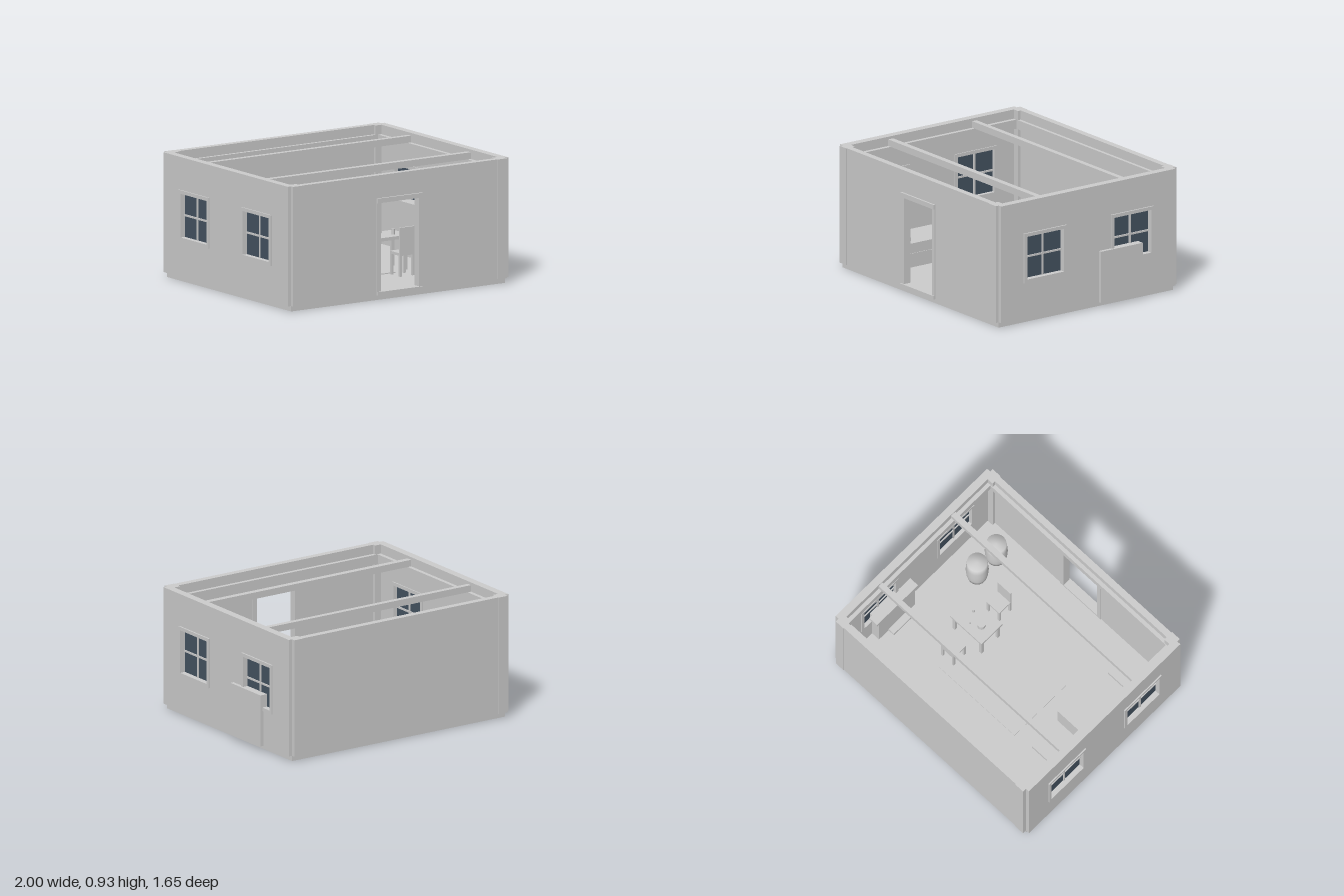
import * as THREE from 'three';

const plain = new THREE.MeshStandardMaterial({ color: 0xcccccc });
plain.name = 'plaster grey';
const glass = new THREE.MeshStandardMaterial({ color: 0x445260 });
glass.name = 'window glass';

// Box given by its limits on each axis
function box(parent, name, [x0, x1], [y0, y1], [z0, z1], mat = plain) {
  const m = new THREE.Mesh(new THREE.BoxGeometry(x1 - x0, y1 - y0, z1 - z0), mat);
  m.position.set((x0 + x1) / 2, (y0 + y1) / 2, (z0 + z1) / 2);
  m.name = name;
  parent.add(m);
  return m;
}

function group(parent, name) {
  const g = new THREE.Group();
  g.name = name;
  parent.add(g);
  return g;
}

function rect(Type, a0, a1, b0, b1) {
  const s = new Type();
  s.moveTo(a0, b0).lineTo(a1, b0).lineTo(a1, b1).lineTo(a0, b1).closePath();
  return s;
}

const BASE = 0.04, TOP = 0.93;
const WINDOWS = [[0.225, 0.56], [-0.57, -0.235]];
const SILL = 0.335, HEAD = 0.66;

// Side wall with two window holes, x0 is its lower x limit
function sideWall(parent, name, x0, depth) {
  const s = rect(THREE.Shape, -0.79, 0.80, BASE, TOP); // shape axis runs along -z
  for (const [a, b] of WINDOWS) s.holes.push(rect(THREE.Path, -b, -a, SILL, HEAD));
  const m = new THREE.Mesh(new THREE.ExtrudeGeometry(s, { depth, bevelEnabled: false }), plain);
  m.rotation.y = Math.PI / 2;
  m.position.x = x0;
  m.name = name;
  parent.add(m);
}

// Framed window with crossed glazing bars; x is the pane, xr the frame limits
function windowUnit(parent, xr, x, [z0, z1]) {
  const g = group(parent, 'window'), f = 0.026;
  for (const [a, b] of [[SILL - f, SILL], [HEAD, HEAD + f]]) box(g, 'windowRail', xr, [a, b], [z0 - f, z1 + f]);
  for (const [a, b] of [[z0 - f, z0], [z1, z1 + f]]) box(g, 'windowStile', xr, [SILL, HEAD], [a, b]);
  box(g, 'pane', [x - 0.004, x + 0.004], [SILL, HEAD], [z0, z1], glass);
  const zc = (z0 + z1) / 2, yc = (SILL + HEAD) / 2, w = 0.007, bx = [x - 0.012, x + 0.012];
  box(g, 'verticalBar', bx, [SILL, HEAD], [zc - w, zc + w]);
  box(g, 'horizontalBar', bx, [yc - w, yc + w], [z0, z1]);
}

// Bed with its foot end at z
function bed(parent, z) {
  const g = group(parent, 'bed');
  box(g, 'bedFrame', [-0.845, -0.535], [BASE, 0.15], [z, z + 0.635]);
  box(g, 'mattress', [-0.84, -0.54], [0.15, 0.225], [z + 0.075, z + 0.62]);
  box(g, 'footBlanket', [-0.845, -0.535], [0.15, 0.245], [z, z + 0.075]);
  box(g, 'pillow', [-0.79, -0.59], [0.225, 0.255], [z + 0.47, z + 0.6]);
}

// Chair centred at z; dir is the side of the backrest
function chair(parent, z, dir) {
  const g = group(parent, 'chair');
  g.position.set(0.37, 0, z);
  box(g, 'chairSeat', [-0.065, 0.065], [0.2, 0.22], [-0.065, 0.065]);
  const back = box(g, 'chairBack', [-0.065, 0.065], [0.22, 0.41], [-0.0075, 0.0075]);
  back.position.z = dir * 0.0575;
  for (const x of [-0.055, 0.055]) for (const c of [-0.055, 0.055])
    box(g, 'chairLeg', [x - 0.009, x + 0.009], [BASE, 0.2], [c - 0.009, c + 0.009]);
}

function cylinder(parent, name, r, h, x, y, z) {
  const m = new THREE.Mesh(new THREE.CylinderGeometry(r, r, h, 24), plain);
  m.position.set(x, y + h / 2, z);
  m.name = name;
  parent.add(m);
}

export function createModel() {
  const house = new THREE.Group();
  house.name = 'house';

  // Base and walls
  box(house, 'foundation', [-0.96, 0.94], [0, BASE], [-0.80, 0.79]);
  box(house, 'floor', [-0.94, 0.92], [BASE, 0.045], [-0.79, 0.78]);
  box(house, 'backWall', [-0.96, 0.94], [BASE, TOP], [-0.825, -0.775]);
  sideWall(house, 'leftSideWall', -0.99, 0.06);
  sideWall(house, 'rightSideWall', 0.91, 0.06);
  const front = group(house, 'frontWall');
  box(front, 'wallPanel', [-0.96, -0.18], [BASE, TOP], [0.76, 0.81]);
  box(front, 'wallPanel', [0.16, 0.94], [BASE, TOP], [0.76, 0.81]);
  box(front, 'panelOverDoor', [-0.18, 0.16], [0.73, TOP], [0.76, 0.81]);

  // Corner posts
  for (const x of [[-0.96, -0.88], [0.86, 0.94]])
    for (const z of [[-0.83, -0.75], [0.735, 0.816]]) box(house, 'cornerPost', x, [BASE, TOP], z);

  // Door surround
  const door = group(house, 'doorFrame');
  box(door, 'lintel', [-0.215, 0.195], [0.725, 0.76], [0.75, 0.825]);
  box(door, 'threshold', [-0.215, 0.195], [BASE, 0.065], [0.755, 0.825]);
  for (const x of [[-0.215, -0.18], [0.16, 0.195]]) box(door, 'doorJamb', x, [0.065, 0.725], [0.755, 0.815]);

  // Windows
  for (const z of WINDOWS) {
    windowUnit(house, [-1.0, -0.922], -0.955, z);
    windowUnit(house, [0.902, 0.982], 0.935, z);
  }

  // Ring beam, cross beams and skirting
  const Y = [0.79, 0.86];
  box(house, 'backLedger', [-0.93, 0.91], Y, [-0.775, -0.75]);
  box(house, 'frontLedger', [-0.93, 0.91], Y, [0.73, 0.76]);
  box(house, 'leftLedger', [-0.93, -0.90], Y, [-0.75, 0.73]);
  box(house, 'rightLedger', [0.88, 0.91], Y, [-0.75, 0.73]);
  for (const z of [[-0.41, -0.37], [0.35, 0.395]]) box(house, 'crossBeam', [-0.93, 0.91], [0.86, 0.91], z);
  box(house, 'skirting', [-0.88, 0.86], [BASE, 0.095], [-0.775, -0.765]);

  // Fireplace through the right wall
  const fire = group(house, 'fireplace');
  box(fire, 'chimneyBlock', [0.84, 0.998], [BASE, 0.43], [-0.48, -0.10]);
  box(fire, 'mantel', [0.83, 0.91], [0.40, 0.43], [-0.51, -0.08]);
  box(fire, 'hearth', [0.785, 0.84], [BASE, 0.07], [-0.38, -0.19]);

  // Rug and beds
  box(house, 'rug', [-0.39, 0.37], [0.045, 0.052], [-0.33, 0.21]);
  bed(house, -0.825 + 0.0);
  bed(house, -0.027);

  // Table with tableware, and chairs
  const table = group(house, 'table');
  box(table, 'tableTop', [0.21, 0.53], [0.28, 0.305], [-0.055, 0.165]);
  for (const x of [0.235, 0.505]) for (const z of [-0.03, 0.14])
    box(table, 'tableLeg', [x - 0.012, x + 0.012], [BASE, 0.28], [z - 0.012, z + 0.012]);
  cylinder(table, 'cup', 0.03, 0.045, 0.31, 0.305, 0.047);
  cylinder(table, 'candle', 0.012, 0.04, 0.432, 0.305, 0.09);
  cylinder(table, 'smallPeg', 0.006, 0.02, 0.385, 0.305, 0.005);
  chair(house, -0.185, -1);
  chair(house, 0.295, 1);

  // Barrels
  const profile = [[0, 0], [0.07, 0], [0.081, 0.07], [0.085, 0.145], [0.081, 0.22], [0.075, 0.29], [0, 0.29]]
    .map(([r, y]) => new THREE.Vector2(r, y));
  for (const z of [0.375, 0.575]) {
    const m = new THREE.Mesh(new THREE.LatheGeometry(profile, 24), plain);
    m.position.set(0.67, BASE, z);
    m.name = 'barrel';
    house.add(m);
  }
  return house;
}
